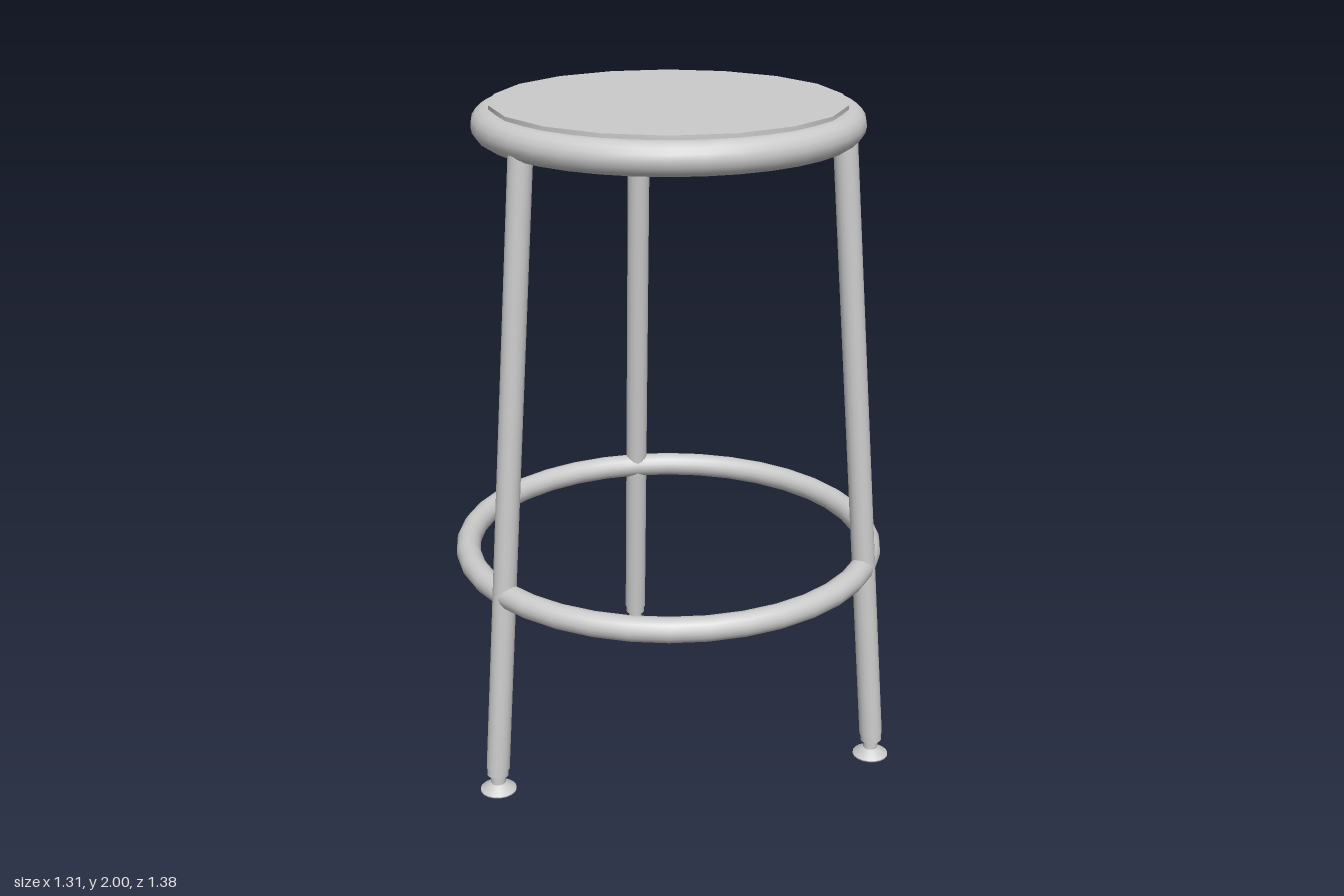
import * as THREE from 'three';

const CZ = 0.03; // the round parts sit slightly forward of the bounding centre

export function createModel() {
  const stool = new THREE.Group();
  stool.name = 'stool';
  const grey = new THREE.MeshStandardMaterial({ color: 0xcccccc });

  const add = (parent, name, geometry) => {
    const mesh = new THREE.Mesh(geometry, grey);
    mesh.name = name;
    parent.add(mesh);
    return mesh;
  };

  // Horizontal tube ring
  const ring = (name, radius, tube, y) => {
    const g = new THREE.TorusGeometry(radius, tube, 16, 36).rotateX(Math.PI / 2);
    add(stool, name, g).position.set(0, y, CZ);
  };

  // Straight round bar between two points
  const bar = (parent, name, a, b, radius) => {
    const dir = b.clone().sub(a);
    const mesh = add(parent, name, new THREE.CylinderGeometry(radius, radius, dir.length(), 16));
    mesh.position.copy(a).add(b).multiplyScalar(0.5);
    mesh.quaternion.setFromUnitVectors(new THREE.Vector3(0, 1, 0), dir.normalize());
  };

  // Seat: flat panel set into a tubular rim
  ring('seatRim', 0.517, 0.048, 1.941);
  const panel = new THREE.CylinderGeometry(0.513, 0.513, 0.075, 18).rotateY(Math.PI / 2);
  add(stool, 'seatPanel', panel).position.set(0, 1.9625, CZ);

  // Footrest
  ring('footRing', 0.62, 0.037, 0.633);

  // Foot profile: disc, sloped cone and stem
  const footProfile = [[0, 0], [0.054, 0], [0.054, 0.005], [0.022, 0.026], [0.022, 0.026], [0.022, 0.065]]
    .map(([r, y]) => new THREE.Vector2(r, y));

  // Point on the leg axis at a given height (legs lean inward)
  const axis = (y) => new THREE.Vector3(0, y, -(0.674 - 0.08 * y));

  // Three legs, one at the back and two at the front
  ['backLeg', 'frontLeftLeg', 'frontRightLeg'].forEach((name, i) => {
    const leg = new THREE.Group();
    leg.name = name;
    leg.position.z = CZ;
    leg.rotation.y = -i * Math.PI * 2 / 3;
    bar(leg, 'legTube', axis(0.075), axis(1.935), 0.035);
    bar(leg, 'legSleeve', axis(0.052), axis(0.078), 0.032);
    add(leg, 'foot', new THREE.LatheGeometry(footProfile, 18)).position.z = -0.669;
    stool.add(leg);
  });

  return stool;
}
